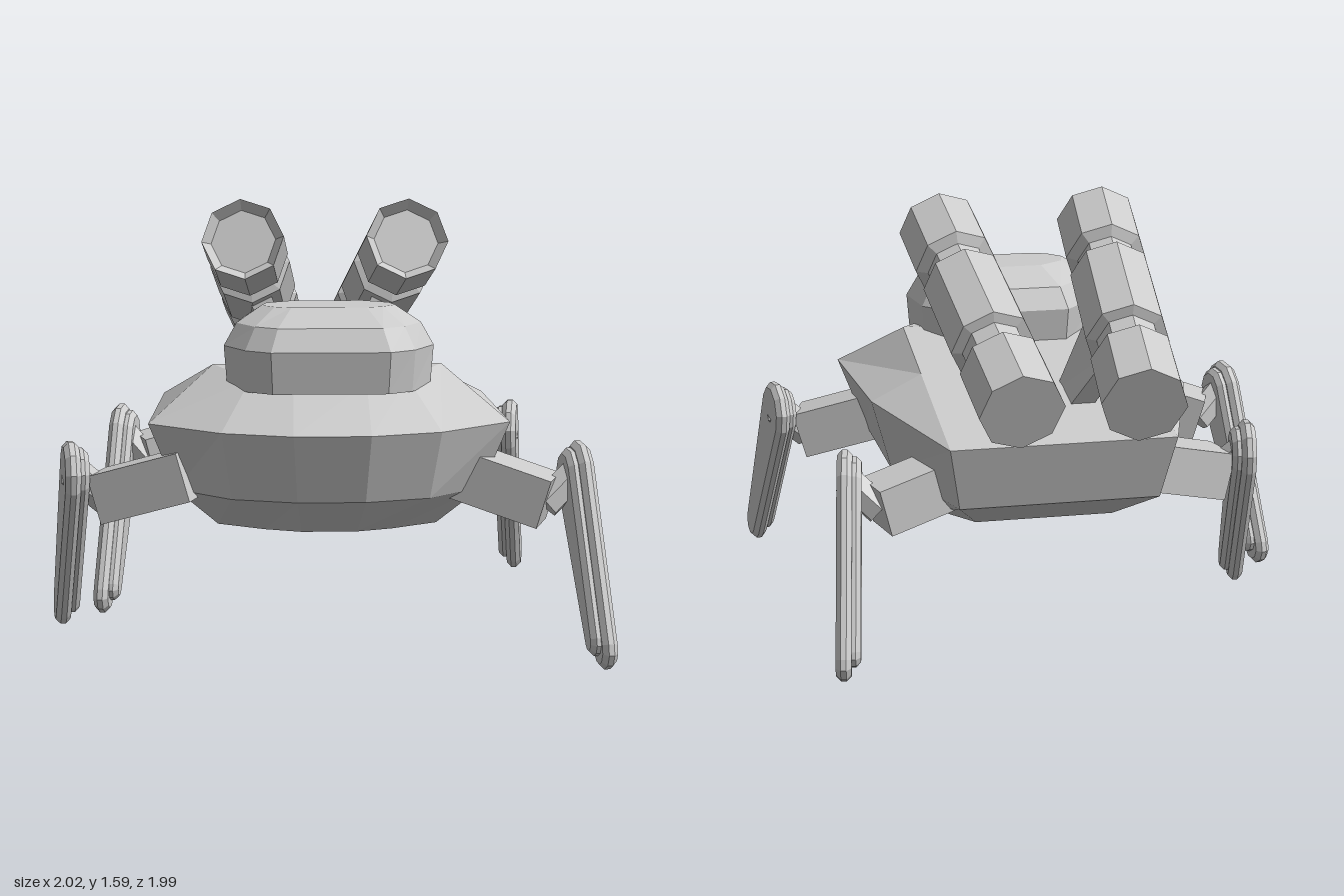
import * as THREE from 'three';

const CX = 0.015; // hull centre line
const material = new THREE.MeshStandardMaterial({ color: 0xcccccc, flatShading: true });
const V = (x, y, z) => new THREE.Vector3(x, y, z);

function add(parent, name, geometry) {
  const mesh = new THREE.Mesh(geometry, material);
  mesh.name = name;
  parent.add(mesh);
  return mesh;
}

// Skin between rings listed bottom to top, each counter-clockwise from above, with both ends closed
function loft(rings) {
  const pos = [];
  const quad = (a, b, c, d) => { for (const p of [a, b, c, a, c, d]) pos.push(p.x, p.y, p.z); };
  const n = rings[0].length;
  for (let r = 0; r < rings.length - 1; r++) {
    for (let i = 0; i < n; i++) {
      const j = (i + 1) % n;
      quad(rings[r][i], rings[r][j], rings[r + 1][j], rings[r + 1][i]);
    }
  }
  const lo = rings[0], hi = rings[rings.length - 1];
  for (let i = 0; i < n / 2 - 1; i++) {
    quad(hi[i], hi[i + 1], hi[n - 2 - i], hi[n - 1 - i]);
    quad(lo[n - 1 - i], lo[n - 2 - i], lo[i + 1], lo[i]);
  }
  const g = new THREE.BufferGeometry();
  g.setAttribute('position', new THREE.Float32BufferAttribute(pos, 3));
  g.computeVertexNormals();
  return g;
}

// Full ring from its left half, front to rear
function mirrored(half) {
  const left = half.map(([x, y, z]) => V(CX + x, y, z));
  const right = half.map(([x, y, z]) => V(CX - x, y, z)).reverse();
  return [...left, ...right];
}

function addHull(root) {
  add(root, 'hull', loft([
    [[0.10, 0.43, 0.60], [0.23, 0.43, 0.55], [0.40, 0.42, 0.40], [0.40, 0.40, 0], [0.26, 0.43, -0.30]],
    [[0.12, 0.58, 0.82], [0.35, 0.58, 0.75], [0.55, 0.58, 0.56], [0.53, 0.565, -0.02], [0.37, 0.58, -0.58]],
    [[0.135, 0.83, 0.91], [0.385, 0.83, 0.83], [0.645, 0.83, 0.62], [0.605, 0.84, -0.03], [0.415, 0.825, -0.655]],
    [[0.13, 0.98, 0.65], [0.28, 0.985, 0.60], [0.415, 1.01, 0.39], [0.415, 0.936, -0.03], [0.415, 0.826, -0.655]],
  ].map(mirrored)));
}

function addDome(root) {
  const outline = [[0.21, 0.755], [0.30, 0.69], [0.375, 0.55], [0.345, 0.35], [0.20, 0.19]];
  const levels = [[0.95, 0.97, 0.93], [1.10, 1, 1], [1.18, 0.88, 0.85], [1.238, 0.64, 0.38]]; // y, x scale, z scale
  add(root, 'dome', loft(levels.map(([y, sx, sz]) =>
    mirrored(outline.map(([x, z]) => [x * sx, y, 0.47 + (z - 0.47) * sz])))));
}

// Octagonal barrel with two necks and a shallow bore, on a leaning strut
function addCannon(root, side) {
  const cannon = new THREE.Group();
  cannon.name = side > 0 ? 'leftCannon' : 'rightCannon';
  root.add(cannon);
  const front = V(CX + side * 0.305, 1.445, 0.18);
  const back = V(CX + side * 0.215, 1.04, -0.945);
  const length = front.distanceTo(back);
  const profile = [
    [0, 0], [0.153, 0], [0.153, 0.27], [0.115, 0.29], [0.115, 0.385],
    [0.153, 0.395], [0.153, 0.81], [0.112, 0.82], [0.112, 0.91], [0.153, 0.93],
    [0.153, length], [0.12, length - 0.04], [0, length - 0.04],
  ].map(([r, y]) => new THREE.Vector2(r, y));
  const barrel = add(cannon, 'barrel', new THREE.LatheGeometry(profile, 8));
  barrel.position.copy(back);
  barrel.quaternion.setFromUnitVectors(V(0, 1, 0), front.clone().sub(back).normalize());

  const ring = (x, yf, zf, yr, zr, w) => [
    V(x + w, yf, zf), V(x + w, yr, zr), V(x - w, yr, zr), V(x - w, yf, zf)];
  add(cannon, 'strut', loft([
    ring(CX + side * 0.12, 0.88, -0.15, 0.85, -0.33, 0.045),
    ring(CX + side * 0.25, 1.22, -0.19, 1.10, -0.47, 0.045),
  ]));
}

// Tapered plate with rounded ends, hanging down from the origin and facing +z
function plateGeometry(length, r1, r2, depth) {
  const bevel = 0.018, pts = [];
  for (let i = 0; i <= 5; i++) {
    const a = Math.PI * i / 5;
    pts.push(new THREE.Vector2(Math.cos(a) * (r1 - bevel), Math.sin(a) * (r1 - bevel)));
  }
  for (let i = 0; i <= 5; i++) {
    const a = Math.PI * (1 + i / 5);
    pts.push(new THREE.Vector2(Math.cos(a) * (r2 - bevel), Math.sin(a) * (r2 - bevel) - length));
  }
  return new THREE.ExtrudeGeometry(new THREE.Shape(pts), {
    depth, bevelEnabled: true, bevelSize: bevel, bevelThickness: bevel, bevelSegments: 1,
  });
}

// Straight part between two points
function addBeam(parent, name, a, b, geometryFor) {
  const mesh = add(parent, name, geometryFor(a.distanceTo(b)));
  mesh.position.copy(a).add(b).multiplyScalar(0.5);
  mesh.lookAt(b);
}

function addLeg(root, { name, hip, elbow, top, foot }) {
  const leg = new THREE.Group();
  leg.name = name;
  root.add(leg);
  const side = Math.sign(top.x);
  addBeam(leg, 'hipArm', hip, elbow, (l) => new THREE.BoxGeometry(0.19, 0.18, l));
  addBeam(leg, 'joint', elbow, top, (l) => new THREE.CylinderGeometry(0.06, 0.06, l + 0.04, 6).rotateX(Math.PI / 2));

  // Plates lie along the leg and turn a little away from the foot
  const up = top.clone().sub(foot);
  const length = up.length();
  up.normalize();
  const out = V(side, 0, -0.16 * Math.sign(foot.z - top.z));
  out.addScaledVector(up, -out.dot(up)).normalize();
  const across = new THREE.Vector3().crossVectors(up, out);
  const plates = new THREE.Group();
  plates.name = 'lowerLeg';
  plates.position.copy(top);
  plates.quaternion.setFromRotationMatrix(new THREE.Matrix4().makeBasis(across, up, out));
  leg.add(plates);
  add(plates, 'outerPlate', plateGeometry(length, 0.12, 0.07, 0.02)).position.z = 0.008;
  add(plates, 'innerPlate', plateGeometry(length - 0.03, 0.095, 0.05, 0.02)).position.z = -0.025;
}

export function createModel() {
  const root = new THREE.Group();
  root.name = 'walker';
  addHull(root);
  addDome(root);
  for (const side of [1, -1]) addCannon(root, side);

  const legs = [
    { name: 'leftFrontLeg', hip: V(0.48, 0.645, 0.53), elbow: V(0.80, 0.545, 0.63), top: V(0.895, 0.635, 0.60), foot: V(0.955, 0.072, 0.925) },
    { name: 'rightFrontLeg', hip: V(-0.48, 0.645, 0.59), elbow: V(-0.80, 0.545, 0.49), top: V(-0.895, 0.635, 0.53), foot: V(-0.955, 0.072, 0.205) },
    { name: 'leftRearLeg', hip: V(0.36, 0.63, -0.33), elbow: V(0.66, 0.55, -0.40), top: V(0.75, 0.635, -0.36), foot: V(0.81, 0.072, -0.685) },
    { name: 'rightRearLeg', hip: V(-0.36, 0.63, -0.32), elbow: V(-0.67, 0.55, -0.24), top: V(-0.75, 0.635, -0.285), foot: V(-0.81, 0.072, 0.04) },
  ];
  for (const leg of legs) addLeg(root, leg);
  return root;
}
